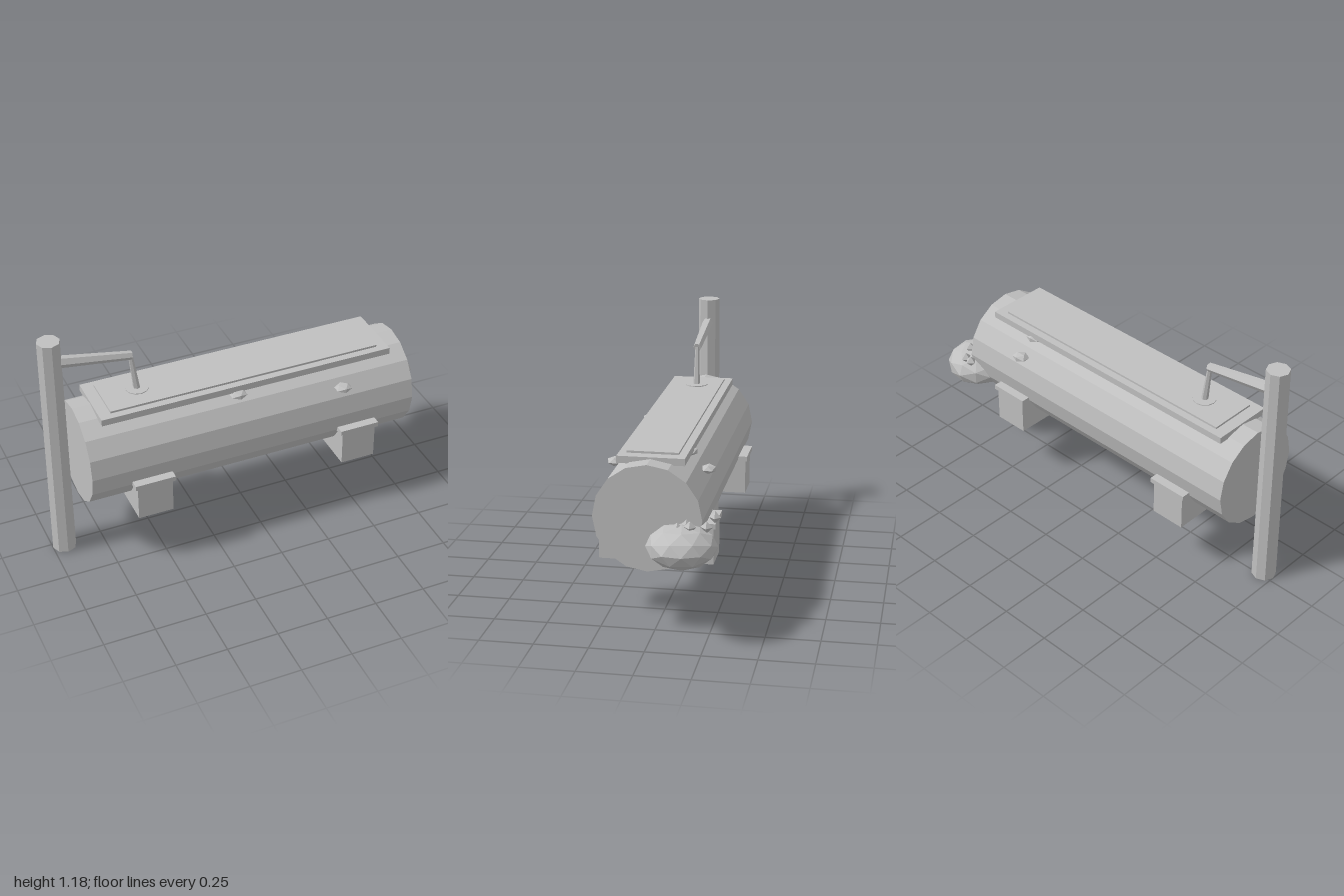
import * as THREE from 'three';

export function createModel() {
  const group = new THREE.Group();
  const stone = new THREE.MeshStandardMaterial({ color: 0xbfbfbf, flatShading: true });
  stone.name = 'plain grey';
  const Z = 0.024; // centre line of the log and post

  function add(name, geometry, x, y, z) {
    const mesh = new THREE.Mesh(geometry, stone);
    mesh.name = name;
    mesh.position.set(x, y, z);
    group.add(mesh);
    return mesh;
  }
  const box = (name, x0, x1, y0, y1, z0, z1) =>
    add(name, new THREE.BoxGeometry(x1 - x0, y1 - y0, z1 - z0), (x0 + x1) / 2, (y0 + y1) / 2, (z0 + z1) / 2);

  // Tapered rod between two points
  function rod(name, from, to, r0, r1, sides) {
    const a = new THREE.Vector3(...from), b = new THREE.Vector3(...to);
    const dir = b.clone().sub(a), mid = a.clone().add(b).multiplyScalar(0.5);
    const mesh = add(name, new THREE.CylinderGeometry(r1, r0, dir.length(), sides), mid.x, mid.y, mid.z);
    mesh.quaternion.setFromUnitVectors(new THREE.Vector3(0, 1, 0), dir.normalize());
    return mesh;
  }

  // Log lying along x, with the stepped basin on top
  rod('log', [-0.855, 0.545, Z], [0.8, 0.545, Z], 0.247, 0.247, 16);
  box('basinRim', -0.765, 0.71, 0.767, 0.8, Z - 0.154, Z + 0.154);
  box('waterSurface', -0.708, 0.655, 0.79, 0.81, Z - 0.118, Z + 0.118);
  add('ripple', new THREE.CylinderGeometry(0.056, 0.056, 0.004, 12), -0.535, 0.821, Z);

  // Post, spout and falling water
  rod('post', [-0.942, 0, Z], [-0.942, 1.185, Z], 0.058, 0.055, 8);
  rod('spout', [-0.94, 1.07, Z], [-0.555, 1.007, Z], 0.03, 0.021, 6);
  rod('waterStream', [-0.56, 1.01, Z], [-0.535, 0.81, Z], 0.011, 0.017, 6);

  // Two supports with wider caps
  for (const x of [-0.558, 0.503]) {
    box('supportBlock', x - 0.087, x + 0.087, 0.27, 0.446, Z - 0.265, Z + 0.265);
    box('supportCap', x - 0.1, x + 0.1, 0.444, 0.468, Z - 0.275, Z + 0.275);
  }

  // Moss lumps on the log
  for (const [x, y, z] of [[-0.088, 0.754, 0.178], [0.43, 0.688, 0.245], [0.46, 0.683, -0.197], [0.45, 0.76, -0.11]]) {
    const lump = add('mossLump', new THREE.IcosahedronGeometry(1, 0), x, y, z);
    lump.scale.set(0.045, 0.021, 0.038);
  }

  // Bush at the end of the log, with small buds
  const bush = add('bush', new THREE.IcosahedronGeometry(1, 1), 0.84, 0.442, -0.138);
  bush.scale.set(0.16, 0.097, 0.16);
  bush.rotation.y = 0.15;
  for (const [x, y, z] of [[0.75, 0.553, -0.272], [0.818, 0.528, -0.245], [0.857, 0.538, -0.178],
    [0.845, 0.525, -0.12], [0.815, 0.53, -0.155]]) {
    add('bud', new THREE.OctahedronGeometry(0.028, 0), x, y, z);
  }
  return group;
}
